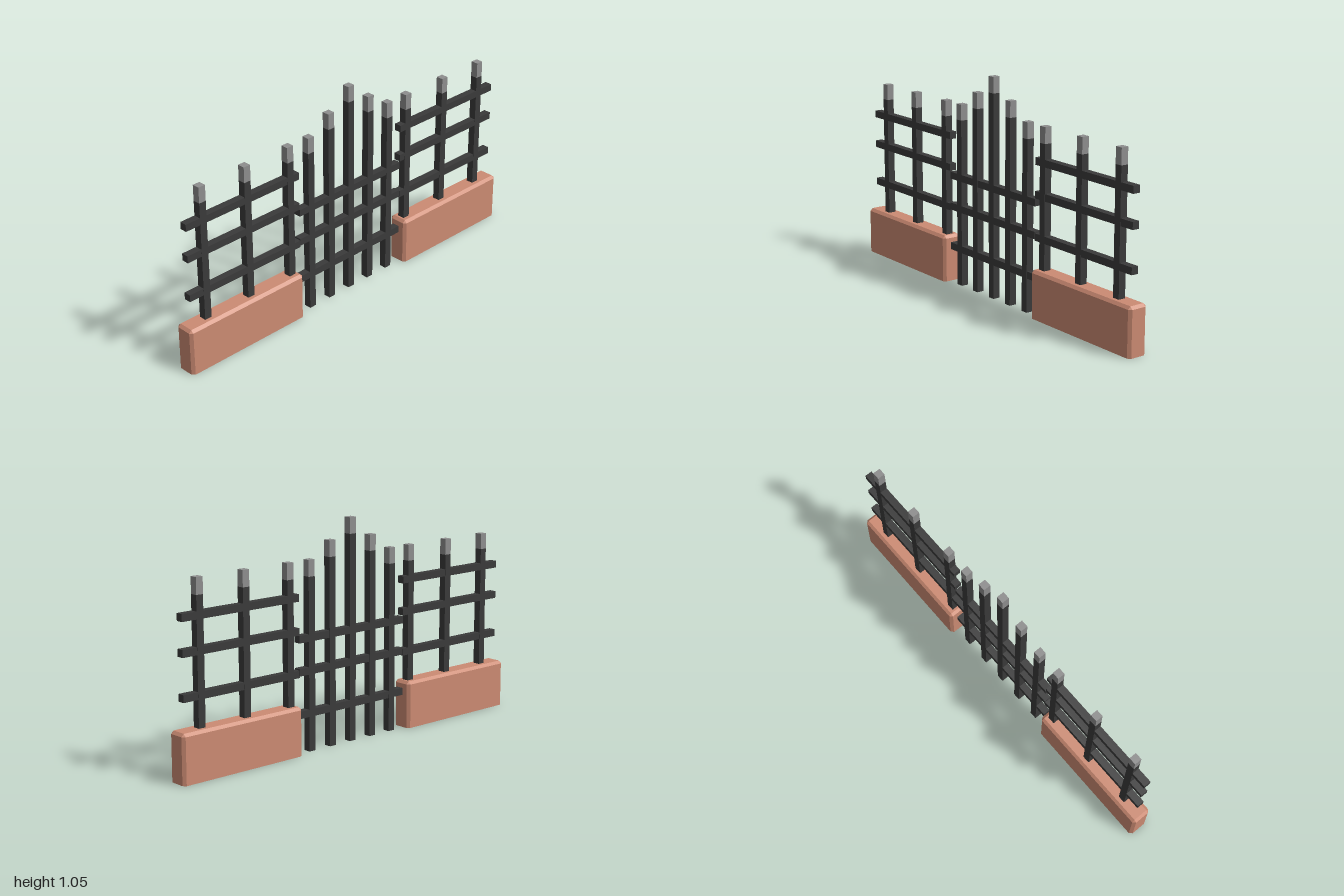
import * as THREE from 'three';

const iron = new THREE.MeshStandardMaterial({ color: 0x3a3a3a });
iron.name = 'dark iron';
const steel = new THREE.MeshStandardMaterial({ color: 0x8e8e8e });
steel.name = 'grey steel';
const brick = new THREE.MeshStandardMaterial({ color: 0xcc8b73, side: THREE.DoubleSide });
brick.name = 'terracotta';

const BAR = 0.036; // thickness of posts and rails
const CAP = 0.076; // height of post tips

function box(parent, name, material, w, h, d, x, y, z = 0) {
  const mesh = new THREE.Mesh(new THREE.BoxGeometry(w, h, d), material);
  mesh.name = name;
  mesh.position.set(x, y, z);
  parent.add(mesh);
}

// Vertical bar with a lighter tip
function post(parent, x, bottom, top) {
  const g = new THREE.Group();
  g.name = 'post';
  const h = top - CAP - bottom;
  box(g, 'postBar', iron, BAR, h, BAR, x, bottom + h / 2);
  box(g, 'postTip', steel, BAR, CAP, BAR, x, top - CAP / 2);
  parent.add(g);
}

function rail(parent, x0, x1, y) {
  box(parent, 'rail', iron, x1 - x0, 0.034, BAR - 0.001, (x0 + x1) / 2, y);
}

// Hollow block, open below, with chamfered upright and top edges
function plinthGeometry(w, h, d, c) {
  const hx = w / 2, hz = d / 2, ix = hx - c, iz = hz - c;
  const outline = [[hx, iz], [hx, -iz], [ix, -hz], [-ix, -hz],
    [-hx, -iz], [-hx, iz], [-ix, hz], [ix, hz]];
  const inner = outline.map(([x, z]) => [Math.sign(x) * ix, Math.sign(z) * iz]);
  const rings = [
    outline.map(([x, z]) => [x, 0, z]),
    outline.map(([x, z]) => [x, h - c, z]),
    inner.map(([x, z]) => [x, h, z]),
  ];
  const pos = [];
  const tri = (a, b, e) => pos.push(...a, ...b, ...e);
  for (let r = 0; r < 2; r++) {
    for (let i = 0; i < 8; i++) {
      const j = (i + 1) % 8;
      const a = rings[r][i], b = rings[r][j], e = rings[r + 1][j], f = rings[r + 1][i];
      tri(a, b, e);
      if (r === 0 || i % 2 === 0) tri(a, e, f); // corners close to a single triangle
    }
  }
  const top = rings[2];
  tri(top[0], top[2], top[4]);
  tri(top[0], top[4], top[6]);
  const geo = new THREE.BufferGeometry();
  geo.setAttribute('position', new THREE.Float32BufferAttribute(pos, 3));
  geo.computeVertexNormals();
  return geo;
}

export function createModel() {
  const model = new THREE.Group();
  model.name = 'fence';

  // Side panels standing on plinths
  const plinth = plinthGeometry(0.667, 0.228, 0.098, 0.013);
  for (const s of [-1, 1]) {
    const panel = new THREE.Group();
    panel.name = s > 0 ? 'leftPanel' : 'rightPanel';
    const base = new THREE.Mesh(plinth, brick);
    base.name = 'plinth';
    base.position.x = s * 0.6665;
    panel.add(base);
    for (const x of [0.375, 0.625, 0.875]) post(panel, s * x, 0.222, 0.885);
    for (const y of [0.721, 0.567, 0.372]) {
      rail(panel, s * 0.647 - 0.323, s * 0.647 + 0.323, y);
    }
    model.add(panel);
  }

  // Gate in the middle, rising to a peak
  const gate = new THREE.Group();
  gate.name = 'gate';
  for (const [x, top] of [[-0.25, 0.885], [-0.125, 0.96], [0, 1.052], [0.125, 0.96], [0.25, 0.885]]) {
    post(gate, x, 0, top);
  }
  for (const y of [0.53, 0.378, 0.18]) rail(gate, -0.323, 0.323, y);
  model.add(gate);

  return model;
}
